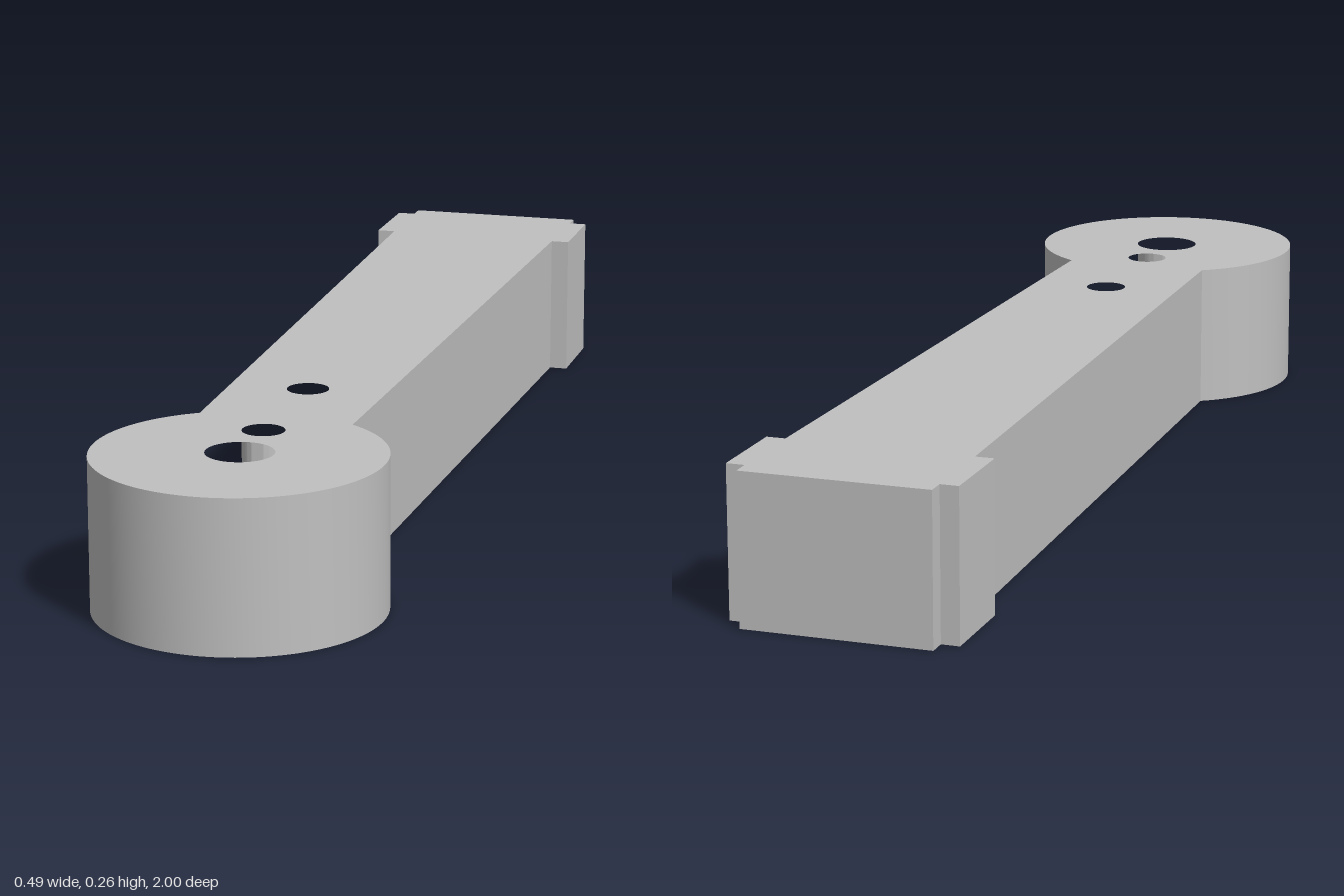
import * as THREE from 'three';
import { toCreasedNormals } from 'three/addons/utils/BufferGeometryUtils.js';

const HEIGHT = 0.26;
const HUB_Z = 0.757, HUB_R = 0.243;
const NECK = 0.132; // half width of the arm where it meets the hub

export function createModel() {
  const model = new THREE.Group();
  model.name = 'leverArm';
  const grey = new THREE.MeshStandardMaterial({ color: 0xc0c0c0 });
  grey.name = 'plain grey';

  // Half outline of the tapered arm and its stepped end, from hub to tip (x, z)
  const side = [[0.162, -0.805], [0.195, -0.805], [0.195, -0.967], [0.163, -0.967], [0.163, -1]];

  // Plan outline: shape y is -z
  const outline = new THREE.Shape();
  const join = Math.acos(NECK / HUB_R);
  outline.moveTo(NECK, -HUB_Z + HUB_R * Math.sin(join));
  outline.absarc(0, -HUB_Z, HUB_R, join, Math.PI - join, true);
  for (const [x, z] of side) outline.lineTo(-x, -z);
  for (const [x, z] of [...side].reverse()) outline.lineTo(x, -z);
  outline.closePath();

  // Pivot bore and two pin holes (z, radius)
  for (const [z, r] of [[0.752, 0.057], [0.622, 0.036], [0.363, 0.036]]) {
    const hole = new THREE.Path();
    hole.absarc(0, -z, r, 0, Math.PI * 2, true);
    outline.holes.push(hole);
  }

  const solid = new THREE.ExtrudeGeometry(outline, { depth: HEIGHT, bevelEnabled: false, curveSegments: 48 });
  solid.rotateX(-Math.PI / 2);
  const arm = new THREE.Mesh(toCreasedNormals(solid, 0.5), grey);
  arm.name = 'armWithHub';
  model.add(arm);
  return model;
}
